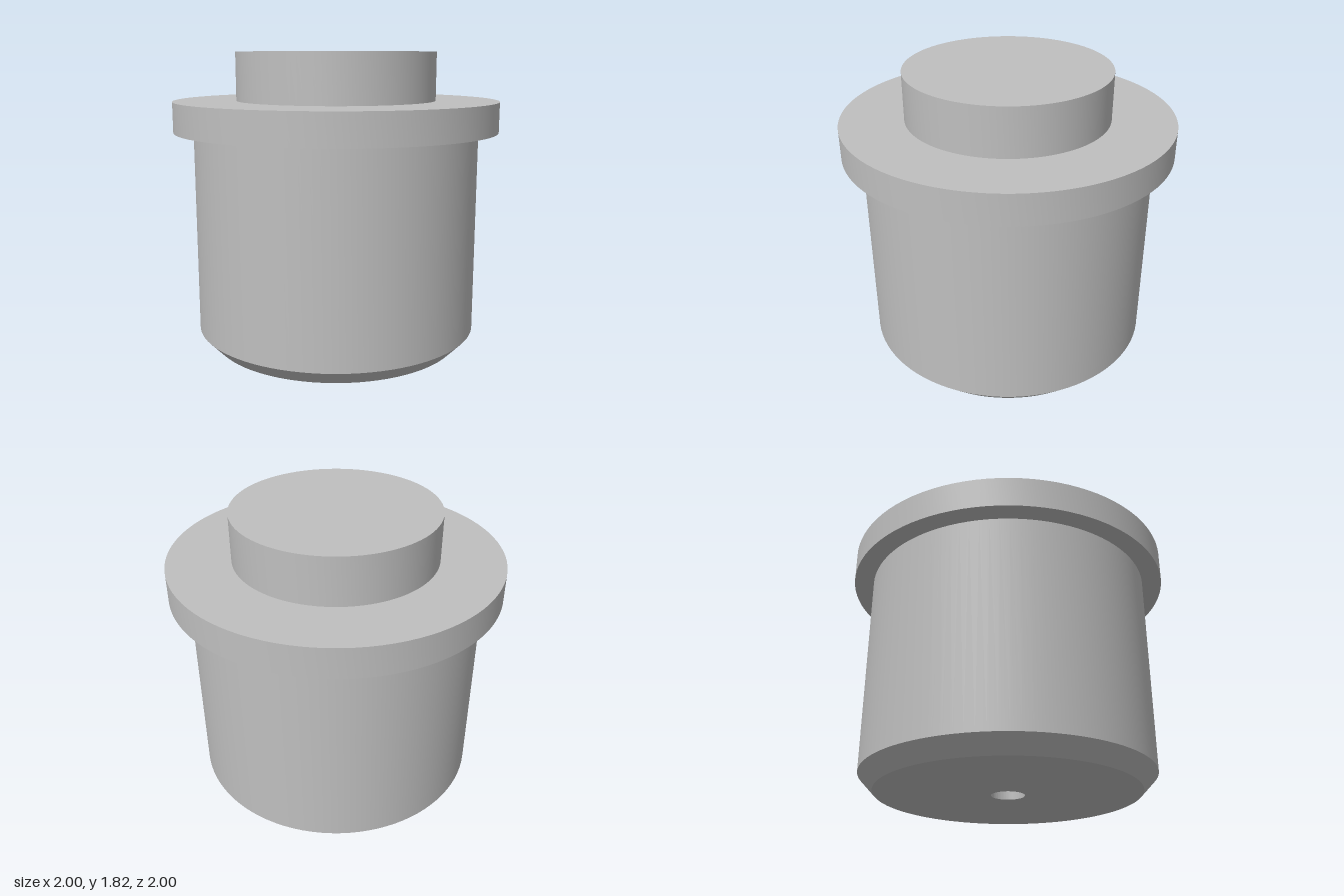
import * as THREE from 'three';
import { toCreasedNormals } from 'three/addons/utils/BufferGeometryUtils.js';

const SEGMENTS = 96;

export function createModel() {
  const group = new THREE.Group();
  group.name = 'flangedPlug';
  const steel = new THREE.MeshStandardMaterial({ color: 0xbfbfbf });
  steel.name = 'plain grey';

  // Revolve a [radius, y] profile, listed from the bottom up, with sharp edges
  const turned = (name, profile) => {
    const points = profile.map(([r, y]) => new THREE.Vector2(r, y));
    const geometry = toCreasedNormals(new THREE.LatheGeometry(points, SEGMENTS), Math.PI / 7);
    const mesh = new THREE.Mesh(geometry, steel);
    mesh.name = name;
    group.add(mesh);
  };

  // Barrel with a shallow blind centre hole and a chamfered bottom edge
  turned('body', [[0, 0.06], [0.1, 0.06], [0.1, 0], [0.79, 0], [0.88, 0.095], [0.88, 1.337]]);
  // Wide collar around the top of the barrel
  turned('flange', [[0.88, 1.337], [1, 1.337], [1, 1.522], [0.617, 1.522]]);
  // Narrow flat-topped boss
  turned('head', [[0.617, 1.522], [0.617, 1.816], [0, 1.816]]);

  return group;
}
